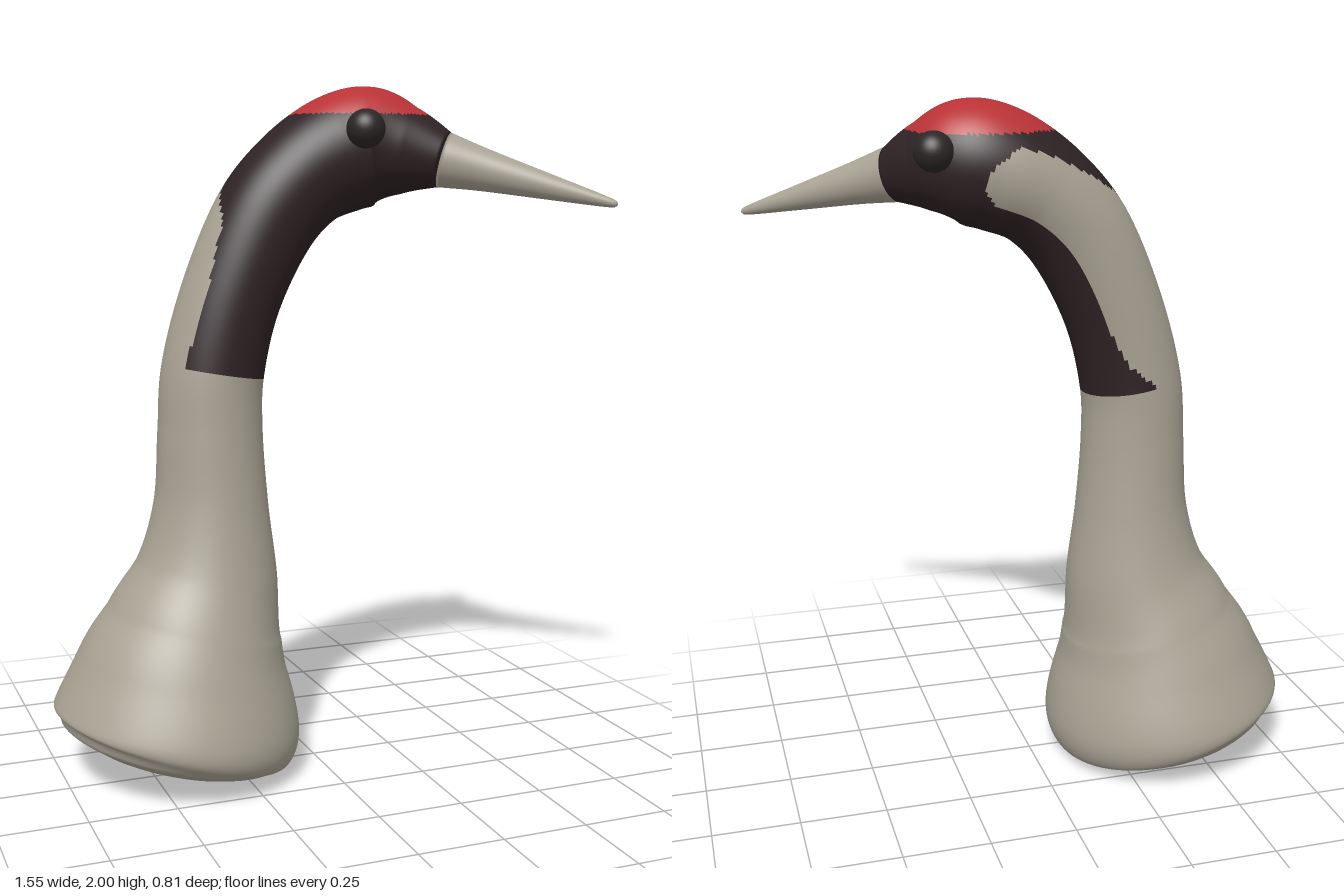
import * as THREE from 'three';

const material = (name, color) => {
  const m = new THREE.MeshStandardMaterial({ color });
  m.name = name;
  return m;
};

const SIDES = 96;
const ROWS = 14; // rows between neighbouring rings

// Sweep of elliptical rings [x, y, z, radius outward, radius sideways, yaw in degrees].
// pick(u, phi, y) gives the material index; phi is 0 on the nape and 90 on the -z side.
function sweep(rings, materials, pick) {
  const path = new THREE.CatmullRomCurve3(
    rings.map(r => new THREE.Vector3(r[0], r[1], r[2])), false, 'catmullrom');
  const sizes = new THREE.CatmullRomCurve3(
    rings.map(r => new THREE.Vector3(r[3], r[4], r[5])), false, 'catmullrom');
  const rows = (rings.length - 1) * ROWS;
  const positions = [];
  const faces = materials.map(() => []);

  for (let i = 0; i <= rows; i++) {
    const c = path.getPoint(i / rows);
    const t = path.getTangent(i / rows);
    const s = sizes.getPoint(i / rows);
    const yaw = THREE.MathUtils.degToRad(s.z);
    const side = new THREE.Vector3(Math.sin(yaw), 0, -Math.cos(yaw));
    side.addScaledVector(t, -t.dot(side)).normalize();
    const out = new THREE.Vector3().crossVectors(t, side);
    for (let j = 0; j < SIDES; j++) {
      const phi = (j / SIDES) * Math.PI * 2;
      const p = c.clone()
        .addScaledVector(out, s.x * Math.cos(phi))
        .addScaledVector(side, s.y * Math.sin(phi));
      positions.push(p.x, p.y, p.z);
    }
  }

  for (let i = 0; i < rows; i++) {
    for (let j = 0; j < SIDES; j++) {
      const k = (j + 1) % SIDES;
      const a = i * SIDES + j, b = i * SIDES + k;
      const c = a + SIDES, d = b + SIDES;
      let phi = ((j + 0.5) / SIDES) * 360;
      if (phi > 180) phi -= 360;
      const u = (i + 0.5) / ROWS;
      for (const tri of [[a, c, b], [b, c, d]]) {
        const y = tri.reduce((sum, v) => sum + positions[v * 3 + 1], 0) / 3;
        faces[pick(u, phi, y)].push(...tri);
      }
    }
  }

  // End caps
  const first = positions.length / 3;
  positions.push(...rings[0].slice(0, 3), ...rings[rings.length - 1].slice(0, 3));
  const top = rows * SIDES;
  for (let j = 0; j < SIDES; j++) {
    const k = (j + 1) % SIDES;
    faces[0].push(first, j, k);
    faces[faces.length - 1].push(first + 1, top + k, top + j);
  }

  const geometry = new THREE.BufferGeometry();
  geometry.setAttribute('position', new THREE.Float32BufferAttribute(positions, 3));
  geometry.setIndex(faces.flat());
  let start = 0;
  faces.forEach((f, i) => {
    geometry.addGroup(start, f.length, i);
    start += f.length;
  });
  geometry.computeVertexNormals();
  return new THREE.Mesh(geometry, materials);
}

export function createModel() {
  const grey = material('warm grey', 0xa9a394);
  const red = material('crown red', 0xb83236);
  const dark = material('dark brown', 0x2e2224);
  const eyeDark = material('eye black', 0x2c2626);
  const model = new THREE.Group();
  model.name = 'craneBust';

  // Base, neck and head in one smooth skin
  const body = [
    [-0.440, 0.060, -0.04, 0.270, 0.270, 0],
    [-0.432, 0.092, -0.04, 0.335, 0.335, 0],
    [-0.417, 0.155, -0.04, 0.365, 0.365, 0],
    [-0.390, 0.315, -0.04, 0.315, 0.312, 0],
    [-0.360, 0.440, -0.04, 0.262, 0.265, 0],
    [-0.322, 0.595, -0.04, 0.210, 0.210, 0],
    [-0.307, 0.790, -0.04, 0.168, 0.172, 0],
    [-0.307, 1.000, -0.04, 0.153, 0.154, 0],
    [-0.297, 1.180, -0.04, 0.149, 0.149, 0],
    [-0.240, 1.395, -0.04, 0.145, 0.149, 0],
    [-0.140, 1.605, -0.04, 0.152, 0.152, 0],
    [-0.030, 1.730, -0.04, 0.157, 0.160, 6],
    [0.090, 1.800, -0.035, 0.172, 0.172, 18],
    [0.190, 1.825, -0.015, 0.170, 0.166, 30],
    [0.280, 1.810, 0.045, 0.126, 0.126, 35],
    [0.362, 1.783, 0.113, 0.080, 0.078, 35],
  ];
  const COLLAR = 8; // ring where the dark neck begins
  // Limits of the pale nape stripe from the collar up: [ring, low angle, high angle]
  const stripe = [
    [8, -40, 75], [8.4, -45, 105], [9, -45, 118], [9.7, -30, 118],
    [10, 0, 118], [10.5, 32, 118], [11, 45, 118], [12, 58, 116], [12.4, 85, 105],
  ];
  const inStripe = (u, phi) => {
    const i = stripe.findIndex(s => s[0] > u);
    if (i < 1) return false;
    const [p, q] = [stripe[i - 1], stripe[i]];
    const f = (u - p[0]) / (q[0] - p[0]);
    return phi > p[1] + (q[1] - p[1]) * f && phi < p[2] + (q[2] - p[2]) * f;
  };
  const neck = sweep(body, [grey, red, dark], (u, phi, y) => {
    if (u < COLLAR) return 0;
    if (y > 1.91) return 1;
    return inStripe(u, phi) ? 0 : 2;
  });
  neck.name = 'neckAndHead';
  model.add(neck);

  // Tapered beak
  const beak = sweep([
    [0.362, 1.783, 0.113, 0.080, 0.078, 35],
    [0.460, 1.752, 0.183, 0.060, 0.058, 35],
    [0.610, 1.704, 0.290, 0.036, 0.035, 35],
    [0.745, 1.661, 0.386, 0.014, 0.014, 35],
    [0.766, 1.654, 0.401, 0.004, 0.004, 35],
  ], [grey], () => 0);
  beak.name = 'beak';
  model.add(beak);

  // Bead eyes on both sides of the head
  const eyeGeometry = new THREE.SphereGeometry(0.055, 32, 24);
  for (const [name, x, z] of [['leftEye', 0.30, -0.138], ['rightEye', 0.10, 0.148]]) {
    const eye = new THREE.Mesh(eyeGeometry, eyeDark);
    eye.name = name;
    eye.position.set(x, 1.865, z);
    model.add(eye);
  }
  return model;
}
